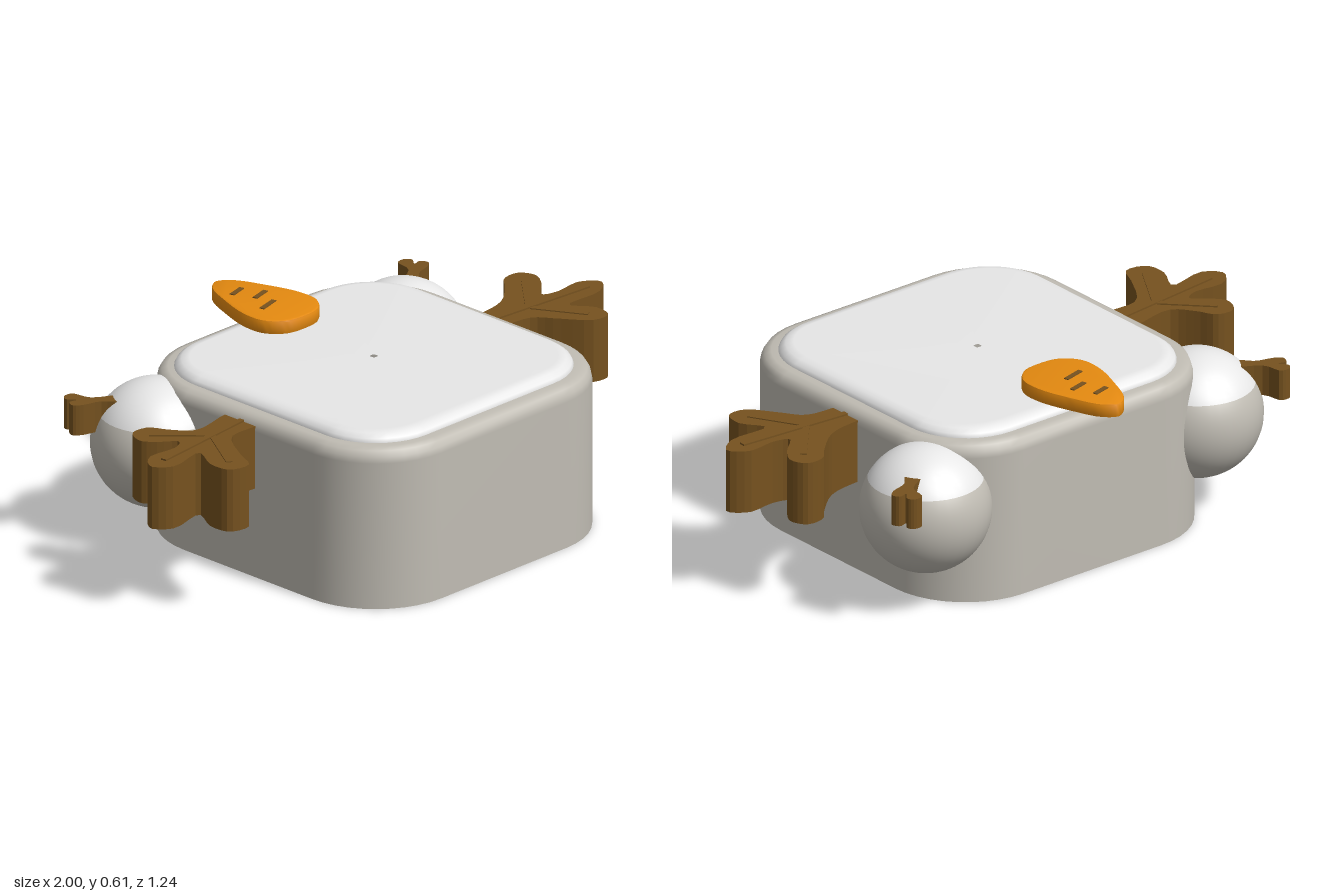
import * as THREE from 'three';
import { toCreasedNormals } from 'three/addons/utils/BufferGeometryUtils.js';

const mat = (name, color, side = THREE.FrontSide) =>
  Object.assign(new THREE.MeshStandardMaterial({ color, side }), { name });

// Loft of rounded squares, profile rows: [half width, corner radius, y]. A repeated row makes a crease.
function roundedLoft(profile, seg = 10) {
  const pos = [], idx = [], n = 4 * (seg + 1);
  for (const [half, r, y] of profile) {
    for (let c = 0; c < 4; c++) {
      const mid = Math.PI / 4 + c * Math.PI / 2;
      const cx = Math.sign(Math.cos(mid)) * (half - r);
      const cz = Math.sign(Math.sin(mid)) * (half - r);
      for (let k = 0; k <= seg; k++) {
        const a = (c + k / seg) * Math.PI / 2;
        pos.push(cx + r * Math.cos(a), y, cz + r * Math.sin(a));
      }
    }
  }
  for (let i = 0; i < profile.length - 1; i++) {
    for (let j = 0; j < n; j++) {
      const a = i * n + j, b = i * n + (j + 1) % n;
      idx.push(a, a + n, b, b, a + n, b + n);
    }
  }
  const g = new THREE.BufferGeometry();
  g.setAttribute('position', new THREE.Float32BufferAttribute(pos, 3));
  g.setIndex(idx);
  g.computeVertexNormals();
  return g;
}

// Upright slab with a smooth closed outline given as [x, z] points
function slab(points, y0, y1, samples, bevel = 0) {
  const curve = new THREE.CatmullRomCurve3(
    points.map(([x, z]) => new THREE.Vector3(x, -z, 0)), true, 'centripetal');
  const outline = curve.getPoints(samples).slice(0, -1).map(p => new THREE.Vector2(p.x, p.y));
  const g = new THREE.ExtrudeGeometry(new THREE.Shape(outline), {
    depth: y1 - y0 - bevel * 2, bevelEnabled: bevel > 0,
    bevelSize: bevel, bevelOffset: -bevel, bevelThickness: bevel, bevelSegments: 2,
  });
  g.rotateX(-Math.PI / 2);
  g.translate(0, y0 + bevel, 0);
  return g;
}

export function createModel() {
  const root = new THREE.Group();
  const stone = mat('warm grey', 0xc0bcb3, THREE.DoubleSide);
  const snow = mat('snow white', 0xeeeeee);
  const bark = mat('bark brown', 0x76521f);
  const orange = mat('carrot orange', 0xe58a10);

  const add = (name, geometry, material, parent = root) => {
    const m = new THREE.Mesh(geometry, material);
    m.name = name;
    parent.add(m);
    return m;
  };

  // Body shell: open under the lid, sharp at the foot, rounded at the top rim
  add('body', roundedLoft([
    [0.52, 0.25, 0], [0.555, 0.28, 0], [0.555, 0.28, 0], [0.555, 0.28, 0.485],
    [0.551, 0.276, 0.505], [0.54, 0.265, 0.522], [0.52, 0.245, 0.53], [0.48, 0.2, 0.53],
  ]), stone).position.z = 0.062;

  // White core that shows as the lid and as the underside
  add('core', roundedLoft([
    [0.01, 0.005, 0.012], [0.48, 0.2, 0.01], [0.525, 0.25, 0.003], [0.525, 0.25, 0.003],
    [0.53, 0.25, 0.03], [0.5, 0.22, 0.06], [0.5, 0.22, 0.525],
    [0.492, 0.212, 0.542], [0.475, 0.195, 0.554], [0.45, 0.17, 0.559], [0.01, 0.005, 0.559],
  ]), snow).position.z = 0.06;

  // Round feet: grey ball with a white cap, and a forked twig
  const capAngle = Math.acos(0.1 / 0.205);
  const twig = [[0.61, -0.36], [0.66, -0.385], [0.70, -0.43], [0.76, -0.45], [0.782, -0.47],
    [0.77, -0.495], [0.742, -0.49], [0.762, -0.52], [0.745, -0.54], [0.715, -0.535],
    [0.70, -0.475], [0.63, -0.43], [0.59, -0.40]];
  for (const s of [1, -1]) {
    const foot = new THREE.Group();
    foot.name = s > 0 ? 'leftFoot' : 'rightFoot';
    root.add(foot);
    add('footBall', new THREE.SphereGeometry(0.205, 40, 24, 0, Math.PI * 2, capAngle, Math.PI - capAngle), stone, foot)
      .position.set(s * 0.542, 0.32, -0.343);
    add('footCap', new THREE.SphereGeometry(0.205, 40, 12, 0, Math.PI * 2, 0, capAngle), snow, foot)
      .position.set(s * 0.542, 0.32, -0.343);
    add('twig', slab(twig.map(([x, z]) => [s * x, z]), 0.375, 0.475, 40), bark, foot);
  }

  // Branch arms: three-fingered slabs with thin raised ridges along each finger
  const arms = {
    leftArm: {
      outline: [[0.48, -0.03], [0.56, -0.03], [0.67, -0.05], [0.76, -0.12], [0.81, -0.17], [0.87, -0.17],
        [0.895, -0.12], [0.86, -0.06], [0.80, 0.0], [0.85, 0.018], [0.95, 0.012], [1.0, 0.06],
        [0.94, 0.11], [0.80, 0.115], [0.845, 0.19], [0.83, 0.255], [0.77, 0.255],
        [0.70, 0.17], [0.65, 0.105], [0.56, 0.09], [0.48, 0.09]],
      ridges: [[0.55, 0.03, 0.94, 0.06], [0.70, 0.04, 0.84, -0.115], [0.70, 0.05, 0.79, 0.21]],
    },
    rightArm: {
      outline: [[-0.48, -0.04], [-0.56, -0.04], [-0.70, -0.02], [-0.755, -0.08], [-0.79, -0.14], [-0.85, -0.145],
        [-0.88, -0.085], [-0.85, -0.04], [-0.80, 0.005], [-0.84, 0.03], [-0.95, 0.025], [-1.0, 0.08],
        [-0.95, 0.13], [-0.82, 0.11], [-0.86, 0.2], [-0.85, 0.27], [-0.78, 0.285],
        [-0.74, 0.21], [-0.66, 0.095], [-0.56, 0.09], [-0.48, 0.09]],
      ridges: [[-0.55, 0.03, -0.94, 0.075], [-0.70, 0.04, -0.83, -0.095], [-0.70, 0.05, -0.81, 0.23]],
    },
  };
  for (const [name, { outline, ridges }] of Object.entries(arms)) {
    const arm = new THREE.Group();
    arm.name = name;
    root.add(arm);
    add('branch', slab(outline, 0.295, 0.502, 72), bark, arm);
    ridges.forEach(([x0, z0, x1, z1], i) => {
      const ridge = add('ridge', new THREE.BoxGeometry(Math.hypot(x1 - x0, z1 - z0), 0.009, 0.02), bark, arm);
      ridge.position.set((x0 + x1) / 2, 0.503 - i * 0.001, (z0 + z1) / 2);
      ridge.rotation.y = -Math.atan2(z1 - z0, x1 - x0);
    });
  }

  // Carrot nose lying on the lid, with three slanted marks
  const half = [[0.045, -0.59], [0.09, -0.49], [0.122, -0.38], [0.118, -0.3], [0.07, -0.247]];
  const carrot = [[0, -0.62], ...half, [0, -0.235], ...half.map(([x, z]) => [-x, z]).reverse()];
  add('nose', toCreasedNormals(slab(carrot, 0.561, 0.607, 60, 0.006), 0.6), orange);
  for (const [x, z, w] of [[-0.015, -0.513, 0.06], [0.018, -0.445, 0.065], [-0.022, -0.373, 0.075]]) {
    const mark = add('noseMark', new THREE.BoxGeometry(w, 0.006, 0.016), bark);
    mark.position.set(x, 0.607, z);
    mark.rotation.y = 0.25;
  }
  return root;
}
